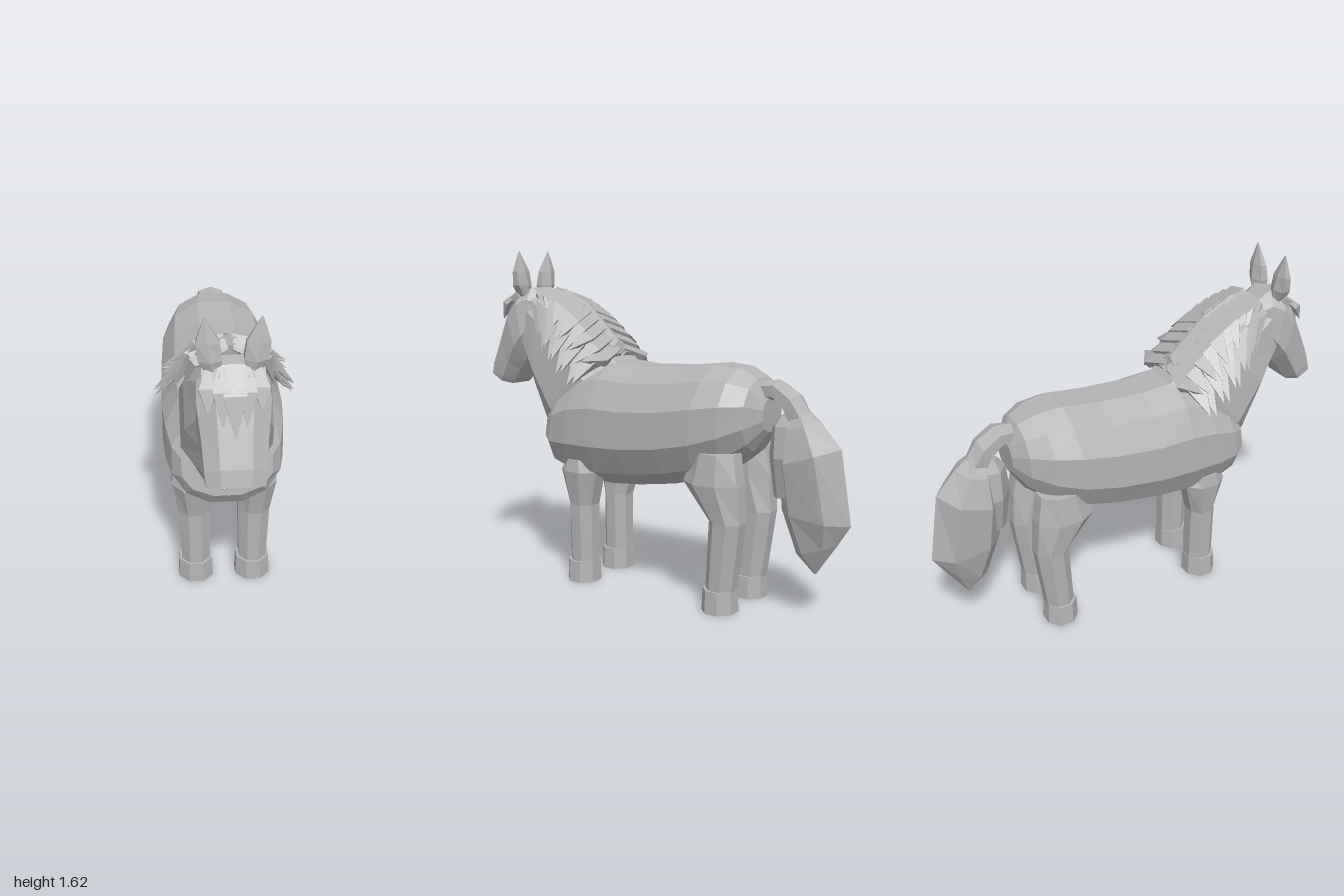
import * as THREE from 'three';

const V = (x, y, z) => new THREE.Vector3(x, y, z);
const coat = new THREE.MeshStandardMaterial({ color: 0xb4b4b4, flatShading: true });
coat.name = 'grey coat';

// Faceted ring: centre plus two half-axes; power < 1 makes it squarer
function ring(c, u, v, n = 8, power = 1) {
  const k = Math.cos(Math.PI / n), pts = [];
  const shape = (t) => Math.sign(t) * Math.pow(Math.abs(t) / k, power);
  for (let i = 0; i < n; i++) {
    const a = ((i + 0.5) / n) * Math.PI * 2;
    pts.push(c.clone().addScaledVector(u, shape(Math.cos(a))).addScaledVector(v, shape(Math.sin(a))));
  }
  return pts;
}

// Ring from two side-profile points (z, y) and a half width
function section([z1, y1, z2, y2, w], cx, n, power) {
  return ring(V(cx, (y1 + y2) / 2, (z1 + z2) / 2), V(w, 0, 0), V(0, (y1 - y2) / 2, (z1 - z2) / 2), n, power);
}

// Skin a closed surface over the rings, always facing outward
function loft(name, rings) {
  const tris = [], n = rings[0].length;
  const mid = (r) => r.reduce((s, p) => s.add(p), V(0, 0, 0)).divideScalar(n);
  const last = rings[rings.length - 1], c0 = mid(rings[0]), c1 = mid(last);
  for (let j = 0; j < n; j++) {
    const k = (j + 1) % n;
    for (let i = 0; i < rings.length - 1; i++) {
      const a = rings[i], b = rings[i + 1];
      tris.push([a[j], a[k], b[k]], [a[j], b[k], b[j]]);
    }
    tris.push([c0, rings[0][k], rings[0][j]], [c1, last[j], last[k]]);
  }
  const volume = tris.reduce((s, [a, b, c]) => s + a.dot(b.clone().cross(c)), 0);
  const pts = tris.flatMap(([a, b, c]) => (volume > 0 ? [a, b, c] : [a, c, b]));
  const geo = new THREE.BufferGeometry().setFromPoints(pts);
  geo.computeVertexNormals();
  const mesh = new THREE.Mesh(geo, coat);
  mesh.name = name;
  return mesh;
}

const profile = (name, rows, n = 8, power = 1, cx = 0) =>
  loft(name, rows.map((r) => section(r, r[5] ?? cx, n, power)));

// Flat tapered lock of hair through three points
function lock(name, pts, across, width, thick) {
  const along = pts[2].clone().sub(pts[0]).normalize();
  const out = along.clone().cross(across).normalize();
  const sizes = [0.6, 1, 0.03];
  return loft(name, pts.map((p, i) => ring(p,
    across.clone().multiplyScalar(width * sizes[i]), out.clone().multiplyScalar(thick * sizes[i]), 4)));
}

export function createModel() {
  const horse = new THREE.Group();
  horse.name = 'horse';

  // Rows are top z, top y, bottom z, bottom y, half width
  horse.add(profile('body', [
    [0.50, 0.91, 0.545, 0.62, 0.20], [0.43, 0.98, 0.50, 0.55, 0.24],
    [0.30, 1.06, 0.40, 0.51, 0.265], [0.19, 1.095, 0.21, 0.495, 0.275],
    [0.03, 1.08, 0.03, 0.51, 0.275], [-0.2, 1.09, -0.17, 0.54, 0.268],
    [-0.38, 1.11, -0.33, 0.58, 0.257], [-0.50, 1.10, -0.46, 0.645, 0.225],
    [-0.585, 1.06, -0.57, 0.73, 0.165], [-0.635, 0.98, -0.63, 0.82, 0.085],
  ], 12, 0.9));

  horse.add(profile('neck', [
    [0.17, 1.09, 0.56, 0.70, 0.19], [0.24, 1.15, 0.60, 0.76, 0.20],
    [0.43, 1.28, 0.69, 0.94, 0.185], [0.62, 1.36, 0.77, 1.08, 0.135],
    [0.72, 1.40, 0.82, 1.15, 0.11],
  ], 8, 0.85));

  horse.add(profile('head', [
    [0.64, 1.37, 0.66, 1.25, 0.085], [0.73, 1.44, 0.69, 1.19, 0.115],
    [0.79, 1.43, 0.73, 1.12, 0.14], [0.85, 1.36, 0.77, 1.07, 0.145],
    [0.92, 1.21, 0.82, 1.01, 0.13], [0.98, 1.08, 0.865, 0.95, 0.122],
    [1.00, 1.01, 0.88, 0.94, 0.115],
  ], 8, 0.75));

  // Hair of the forehead: centre lock and two pairs beside it
  const acrossX = V(1, 0, 0);
  horse.add(lock('forelock', [V(0, 1.43, 0.785), V(0, 1.34, 0.875), V(0, 1.19, 0.935)], acrossX, 0.045, 0.015));

  const crest = (t) => V(0.015, 1.41 - 0.27 * t + 0.06 * Math.sin(t * Math.PI), 0.62 - 0.4 * t);
  const slope = V(0, 0.55, 0.83).normalize();

  for (const [side, s] of [['left', 1], ['right', -1]]) {
    const flip = (p) => V(p.x * s, p.y, p.z);

    // Ears: rows are z and y pairs, half width and x centre
    horse.add(profile(side + 'Ear', [
      [0.80, 1.39, 0.74, 1.39, 0.025, 0.075 * s], [0.808, 1.45, 0.735, 1.45, 0.047, 0.088 * s],
      [0.795, 1.52, 0.745, 1.52, 0.046, 0.096 * s], [0.772, 1.62, 0.768, 1.62, 0.003, 0.108 * s],
    ], 6));

    const nostril = new THREE.Mesh(new THREE.CylinderGeometry(0.014, 0.014, 0.006, 6), coat);
    nostril.name = side + 'Nostril';
    nostril.position.set(0.045 * s, 0.976, 0.945);
    nostril.rotation.x = 0.53;
    horse.add(nostril);

    const brow = new THREE.Mesh(new THREE.BoxGeometry(0.07, 0.03, 0.05), coat);
    brow.name = side + 'Brow';
    brow.position.set(0.085 * s, 1.395, 0.80);
    brow.rotation.set(0.6, 0, -0.2 * s);
    horse.add(brow);

    horse.add(lock(side + 'ForelockInner', [V(0.04, 1.42, 0.79), V(0.05, 1.35, 0.865), V(0.045, 1.23, 0.915)].map(flip), acrossX, 0.035, 0.015));
    horse.add(lock(side + 'ForelockOuter', [V(0.08, 1.42, 0.78), V(0.10, 1.36, 0.85), V(0.105, 1.28, 0.89)].map(flip), acrossX, 0.035, 0.015));

    // Mane: a long layer under a short layer, hanging off the crest
    const mane = new THREE.Group();
    mane.name = side + 'Mane';
    for (let i = 0; i < 10; i++) {
      const t = i / 9;
      const root = crest(t);
      const tip = V(0.19 + 0.115 * Math.sin(Math.min(t * 1.25, 1) * Math.PI / 2),
        1.20 - 0.23 * t + (i % 2) * 0.035, 0.58 - 0.32 * t);
      const mid = V(0.15 + 0.045 * t, (root.y + tip.y) / 2 + 0.035, (root.z + tip.z) / 2 + 0.015);
      mane.add(lock('longLock', [root, mid, tip].map(flip), slope, 0.05, 0.022));
      const tip2 = V(tip.x - 0.035, tip.y + 0.10, tip.z - 0.02);
      const mid2 = V(0.12 + 0.03 * t, root.y - 0.03, root.z - 0.005);
      mane.add(lock('shortLock', [root.clone().add(V(0, 0.012, 0)), mid2, tip2].map(flip), slope, 0.04, 0.02));
    }
    horse.add(mane);

    // Legs: rows are front z, y, back z, y, half width, x centre
    const leg = (name, rows) => horse.add(profile(name,
      rows.map(([f, b, y, w, x]) => [f, y, b, y, w, x * s]), 8));
    leg(side + 'FrontLeg', [
      [0.40, 0.265, 0.10, 0.066, 0.137], [0.40, 0.265, 0.39, 0.074, 0.139],
      [0.435, 0.22, 0.56, 0.09, 0.152], [0.40, 0.25, 0.62, 0.085, 0.15],
    ]);
    leg(side + 'FrontHoof', [[0.415, 0.26, 0, 0.083, 0.137], [0.41, 0.263, 0.105, 0.077, 0.137]]);
    leg(side + 'HindLeg', [
      [-0.395, -0.53, 0.10, 0.066, 0.137], [-0.415, -0.575, 0.42, 0.075, 0.14],
      [-0.285, -0.565, 0.59, 0.092, 0.147], [-0.34, -0.54, 0.73, 0.085, 0.14],
    ]);
    leg(side + 'HindHoof', [[-0.38, -0.535, 0, 0.083, 0.137], [-0.383, -0.53, 0.105, 0.077, 0.137]]);
  }

  // Ridge of the mane and its flat end at the withers
  horse.add(profile('maneCrest', [
    [0.63, 1.42, 0.62, 1.33, 0.03], [0.55, 1.425, 0.53, 1.30, 0.06],
    [0.40, 1.345, 0.37, 1.20, 0.075], [0.22, 1.18, 0.20, 1.08, 0.05],
  ], 6));

  // Tail: a bent dock and two overlapping tufts
  horse.add(profile('tailDock', [
    [-0.58, 1.04, -0.59, 0.96, 0.05], [-0.67, 1.05, -0.66, 0.97, 0.062],
    [-0.76, 0.995, -0.71, 0.92, 0.065], [-0.83, 0.89, -0.74, 0.84, 0.055],
  ], 6, 0.9));
  horse.add(profile('upperTailTuft', [
    [-0.78, 0.94, -0.68, 0.90, 0.04], [-0.83, 0.87, -0.65, 0.85, 0.075],
    [-0.88, 0.72, -0.64, 0.72, 0.09], [-0.80, 0.55, -0.66, 0.53, 0.045],
  ], 6));
  horse.add(profile('lowerTailTuft', [
    [-0.80, 0.93, -0.75, 0.92, 0.04], [-0.86, 0.88, -0.72, 0.84, 0.085],
    [-0.95, 0.77, -0.70, 0.69, 0.122], [-1.0, 0.45, -0.71, 0.48, 0.09],
    [-0.95, 0.35, -0.78, 0.29, 0.05], [-0.865, 0.21, -0.855, 0.21, 0.004],
  ], 6));
  return horse;
}
